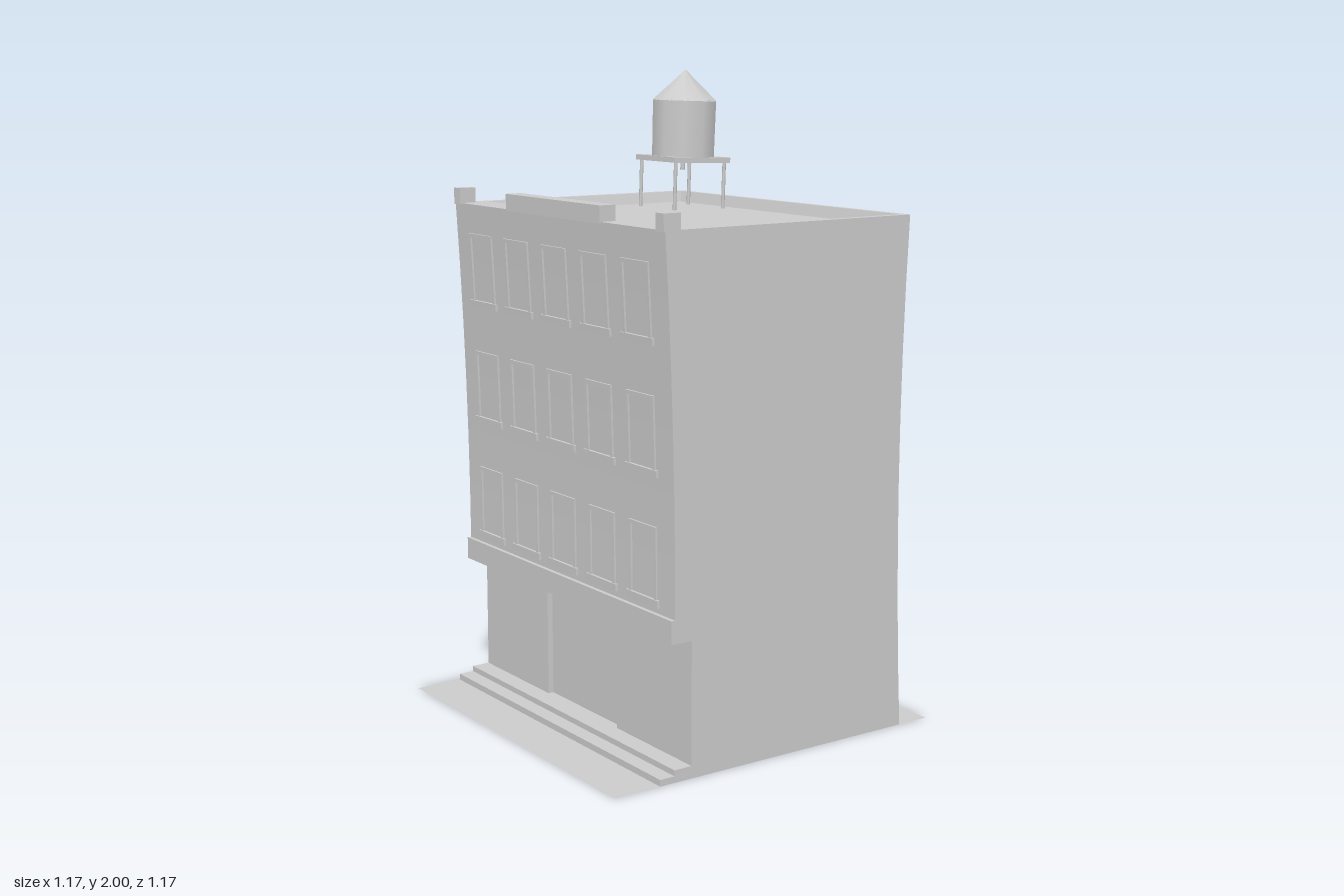
import * as THREE from 'three';

const W = 0.583, TOP = 1.585;
const material = new THREE.MeshStandardMaterial({ color: 0xcccccc, side: THREE.DoubleSide });
const flat = new THREE.MeshStandardMaterial({ color: 0xcccccc, side: THREE.DoubleSide, flatShading: true });

// The front and back walls bow gently with height
const frontZ = y => 0.378 + 0.035 * ((y - 0.5) / 1.1) ** 2;
const backZ = y => -0.452 - 0.023 * ((y - 0.8) / 0.79) ** 2;
const range = (a, b, n) => Array.from({ length: n + 1 }, (_, i) => a + (b - a) * i / n);

export function createModel() {
  const model = new THREE.Group();

  function add(name, geometry, parent = model, mat = flat) {
    const mesh = new THREE.Mesh(geometry, mat);
    mesh.name = name;
    parent.add(mesh);
    return mesh;
  }

  function box(name, x0, x1, y0, y1, z0, z1, parent = model) {
    const mesh = add(name, new THREE.BoxGeometry(x1 - x0, y1 - y0, z1 - z0), parent);
    mesh.position.set((x0 + x1) / 2, (y0 + y1) / 2, (z0 + z1) / 2);
    return mesh;
  }

  // Surface through rows of points
  function grid(name, rows) {
    const n = rows[0].length, index = [];
    for (let r = 0; r < rows.length - 1; r++) {
      for (let c = 0; c < n - 1; c++) {
        const a = r * n + c, b = a + n;
        index.push(a, a + 1, b, a + 1, b + 1, b);
      }
    }
    const geometry = new THREE.BufferGeometry();
    geometry.setAttribute('position', new THREE.Float32BufferAttribute(rows.flat(2), 3));
    geometry.setIndex(index);
    geometry.computeVertexNormals();
    return add(name, geometry);
  }

  // Profile of [z, y] points swept across x
  const strip = (name, x0, x1, profile) =>
    grid(name, profile.map(([z, y]) => [[x0, y, z], [x1, y, z]]));

  // Pavement strips in front and behind
  strip('frontPavement', -W, W, [[0.585, 0], [0.43, 0]]);
  strip('backPavement', -W, W, [[-0.475, 0], [-0.585, 0]]);

  // Entrance steps, open below
  const steps = [[0.43, 0], [0.43, 0.02], [0.38, 0.02], [0.38, 0.038], [0.3, 0.038]];
  strip('entranceSteps', -W, W, steps);

  // Shopfront: two side panels and a recessed middle
  box('shopfrontLeft', 0.195, W, 0.038, 0.42, 0.3, 0.32);
  box('shopfrontRight', -W, -0.2, 0.038, 0.42, 0.3, 0.32);
  box('shopfrontMiddle', -0.2, 0.195, 0.038, 0.42, 0.29, 0.302);
  box('cornice', -W, W, 0.412, 0.482, 0.3, 0.391);

  // Upper front wall
  strip('frontWall', -W, W, range(0.48, TOP, 6).map(y => [frontZ(y), y]));

  // Side walls follow the front and back profiles
  const outline = [
    ...steps.slice(0, 4), [0.32, 0.038], [0.32, 0.412],
    ...range(0.412, TOP, 6).map(y => [frontZ(y), y]),
    ...range(TOP, 0, 8).map(y => [backZ(y), y]),
  ];
  const sideShape = new THREE.Shape(outline.map(([z, y]) => new THREE.Vector2(z, y)));
  for (const side of [-1, 1]) {
    const geometry = new THREE.ShapeGeometry(sideShape);
    geometry.rotateY(side * Math.PI / 2);
    if (side > 0) geometry.rotateY(Math.PI); // keep z forward
    add(side > 0 ? 'leftWall' : 'rightWall', geometry).position.x = side * W;
  }

  // Back wall around a recessed service door
  const doorX0 = -0.565, doorX1 = -0.408, doorTop = 0.345;
  const backProfile = (y0, y1, n) => range(y0, y1, n).map(y => [backZ(y), y]);
  strip('backWallUpper', W, -W, backProfile(doorTop, TOP, 6));
  strip('backWallLower', W, doorX1, backProfile(0, doorTop, 2));
  strip('backWallCorner', doorX0, -W, backProfile(0, doorTop, 2));
  strip('backDoor', doorX1, doorX0,
    [[-0.452, 0], [-0.442, doorTop - 0.02], [backZ(doorTop), doorTop]]);
  for (const x of [doorX0, doorX1]) {
    grid('doorJamb', [
      [[x, 0, backZ(0)], [x, 0, -0.452]],
      [[x, doorTop, backZ(doorTop)], [x, doorTop - 0.02, -0.442]],
    ]);
  }

  // Roof rim, sloping curb and sunken floor
  const ring = (x, y, z0, z1) =>
    [[-x, y, z0], [-x, y, z1], [x, y, z1], [x, y, z0], [-x, y, z0]];
  grid('roofRim', [
    ring(W, TOP, backZ(TOP), frontZ(TOP)),
    ring(0.558, TOP, -0.455, 0.312),
  ]);
  grid('roofCurb', [
    ring(0.558, TOP, -0.455, 0.312),
    ring(0.545, 1.55, -0.442, 0.297),
  ]);
  strip('roofFloor', -0.545, 0.545, [[0.297, 1.55], [-0.442, 1.55]]);

  // Front parapet blocks
  box('parapetMiddle', -0.263, 0.261, 1.58, 1.632, 0.36, 0.415);
  box('parapetLeft', 0.543, W, 1.58, 1.632, 0.36, 0.417);
  box('parapetRight', -W, -0.546, 1.58, 1.632, 0.36, 0.417);

  // Windows: raised surround and sill, leaning with the wall
  const surround = new THREE.Shape();
  surround.moveTo(-0.07, 0).lineTo(0.07, 0).lineTo(0.07, 0.215).lineTo(-0.07, 0.215).closePath();
  const opening = new THREE.Path();
  opening.moveTo(-0.058, 0).lineTo(-0.058, 0.203).lineTo(0.058, 0.203).lineTo(0.058, 0).closePath();
  surround.holes.push(opening);
  const frame = new THREE.ExtrudeGeometry(surround, { depth: 0.011, bevelEnabled: false });
  for (const y of [0.52, 0.9, 1.278]) {
    for (let i = -2; i <= 2; i++) {
      const win = new THREE.Group();
      win.name = 'window';
      win.position.set(i * 0.2155 - 0.004, y, frontZ(y));
      win.rotation.x = Math.atan((frontZ(y + 0.215) - frontZ(y)) / 0.215);
      add('windowSurround', frame, win).position.z = -0.005;
      box('windowSill', -0.08, 0.08, -0.02, 0.002, -0.005, 0.009, win);
      model.add(win);
    }
  }

  // Water tank on a four-legged stand, leaning back slightly
  const tank = new THREE.Group();
  tank.name = 'waterTank';
  tank.position.set(-0.339, 1.55, -0.298);
  tank.rotation.x = -0.035;
  model.add(tank);
  for (const x of [-0.097, 0.097]) {
    for (const z of [-0.097, 0.097]) {
      add('tankLeg', new THREE.CylinderGeometry(0.006, 0.006, 0.156, 8), tank, material)
        .position.set(x, 0.078, z);
    }
  }
  box('tankPlatform', -0.111, 0.111, 0.153, 0.17, -0.111, 0.111, tank);
  add('tankPipe', new THREE.CylinderGeometry(0.008, 0.008, 0.03, 8), tank, material)
    .position.y = 0.14;
  const body = add('tankBody', new THREE.CylinderGeometry(0.108, 0.106, 0.182, 10), tank, material);
  body.position.y = 0.261;
  body.rotation.y = Math.PI / 2;
  const roof = add('tankRoof', new THREE.ConeGeometry(0.11, 0.1, 10), tank, material);
  roof.position.y = 0.4;
  roof.rotation.y = Math.PI / 2;

  return model;
}
